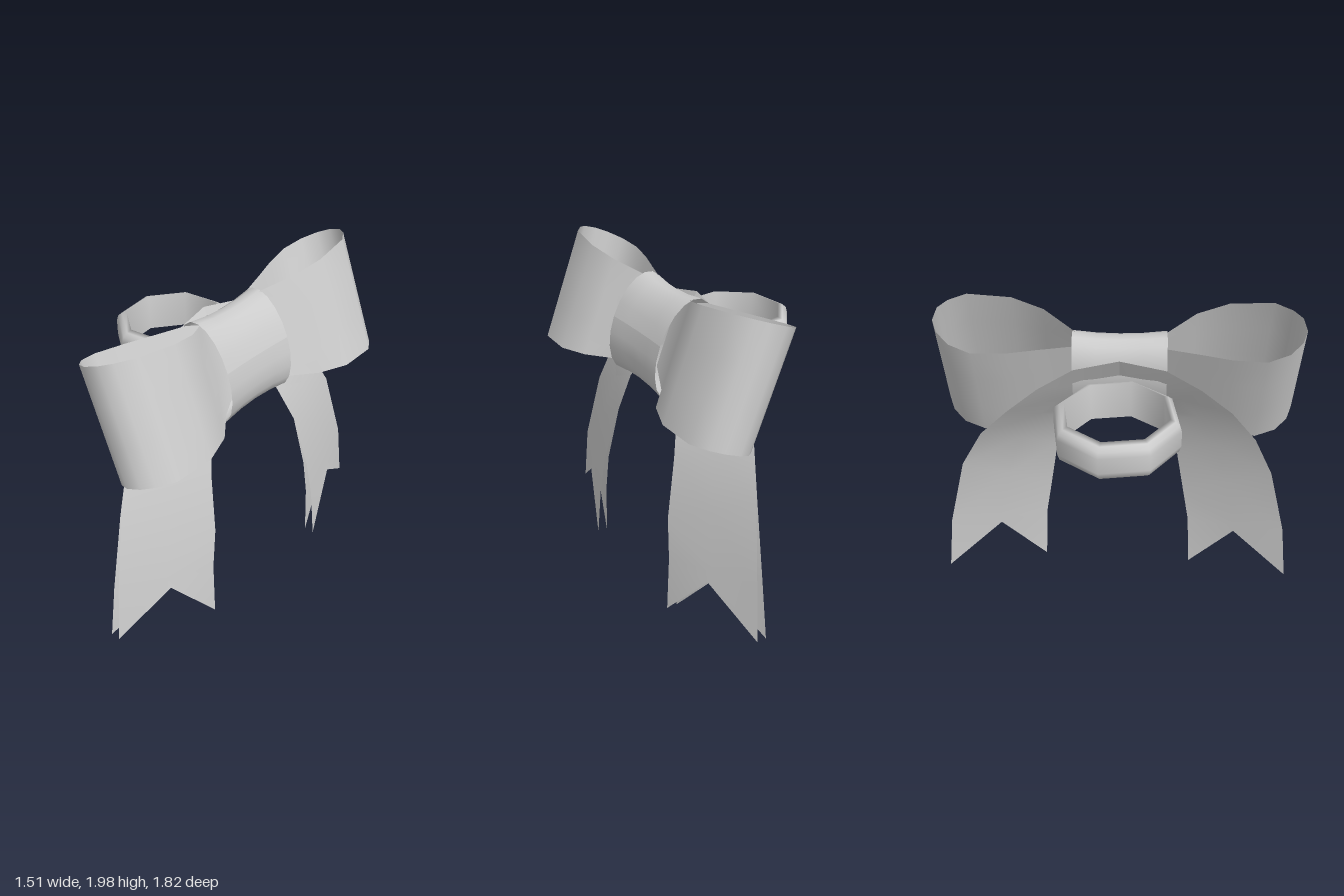
import * as THREE from 'three';

const material = new THREE.MeshStandardMaterial({ color: 0xcccccc, side: THREE.DoubleSide });

// Smooth surface through rows of [x, y, z] points
function sheet(name, rows) {
  const cols = rows[0].length, index = [];
  for (let i = 0; i < rows.length - 1; i++) {
    for (let j = 0; j < cols - 1; j++) {
      const a = i * cols + j, b = a + cols;
      index.push(a, b, a + 1, b, b + 1, a + 1);
    }
  }
  const geometry = new THREE.BufferGeometry();
  geometry.setAttribute('position', new THREE.Float32BufferAttribute(rows.flat(2), 3));
  geometry.setIndex(index);
  geometry.computeVertexNormals();
  const mesh = new THREE.Mesh(geometry, material);
  mesh.name = name;
  return mesh;
}

// Teardrop ribbon loop, widening toward its outer end
const loopProfile = [
  [0.1, -0.02], [0.25, -0.05], [0.44, -0.1], [0.6, -0.145], [0.78, -0.17], [0.9, -0.125], [0.97, -0.05],
  [1.0, 0.03], [0.985, 0.12], [0.935, 0.18], [0.84, 0.24], [0.6, 0.25], [0.42, 0.19], [0.25, 0.06], [0.1, 0.03],
];
function bowLoop(name, side) {
  const sweep = side < 0 ? -0.03 : 0; // the right loop swings slightly back
  return sheet(name, loopProfile.map(([x, z]) => {
    const t = (x - 0.25) / 0.75;
    const pinch = t < 0 ? 0.85 : 1;
    const top = pinch * (0.262 + 0.103 * t) + side * 0.015 * x;
    const bottom = -pinch * (0.265 + 0.27 * t - 0.21 * t * t) + side * 0.01 * x;
    return [0, 0.33, 0.67, 1].map((k) => [side * x, top + (bottom - top) * k, z + sweep * x]);
  }));
}

// Flattened band wrapped around the middle, slightly waisted
function knot() {
  const rows = [-0.258, -0.13, 0, 0.13, 0.258].map((x) => {
    const s = 0.93 + 0.07 * (x / 0.258) ** 2, row = [];
    for (let i = 0; i <= 20; i++) {
      const a = (i / 20) * Math.PI * 2;
      row.push([x, -0.018 + 0.303 * s * Math.sin(a), 0.167 * s * Math.cos(a)]);
    }
    return row;
  });
  return sheet('knot', rows);
}

// Hanging tail: outer and inner edges from the arch behind the knot to the notched end
const outerEdge = [
  [0, 1.77, -0.24], [0.25, 1.71, -0.235], [0.45, 1.57, -0.21], [0.63, 1.39, -0.16],
  [0.78, 1.18, -0.115], [0.9, 0.9, -0.07], [1.01, 0.45, -0.05], [1.05, 0.09, -0.065],
];
const innerEdge = [
  [0, 1.5, -0.09], [0.13, 1.42, -0.06], [0.21, 1.33, -0.01], [0.27, 1.2, 0.05],
  [0.34, 0.95, 0.1], [0.394, 0.6, 0.15], [0.435, 0.35, 0.15], [0.45, 0.01, 0.148],
];
function tail(name, side, gap) {
  const last = outerEdge.length - 1;
  return sheet(name, outerEdge.map((o, i) => {
    const n = innerEdge[i];
    const mid = i === last ? [0.72, 0.335, 0.07] : o.map((v, k) => (v + n[k]) / 2);
    return [o, mid, n].map(([x, y, z]) => {
      // the left tail swings slightly outward and forward
      const swing = side > 0 ? Math.min(1, Math.max(0, (1.4 - y) / 0.4)) : 0;
      return [side * x + 0.04 * swing, y + 0.02 * swing, z + 0.04 * swing + gap * Math.max(0, 1 - y)];
    });
  }));
}

// Eight-sided band with a bulging outside
function ring() {
  const profile = [
    [0.287, -0.11], [0.315, -0.1], [0.34, -0.078], [0.35, -0.045], [0.35, 0.045],
    [0.34, 0.078], [0.315, 0.1], [0.287, 0.11], [0.287, -0.11],
  ].map(([r, y]) => new THREE.Vector2(r, y));
  const mesh = new THREE.Mesh(new THREE.LatheGeometry(profile, 8, -0.09), material);
  mesh.name = 'ring';
  mesh.position.set(-0.412, 1.51, -0.29);
  return mesh;
}

export function createModel() {
  const model = new THREE.Group();
  model.name = 'ribbonBow';

  // The bow is turned sideways; its loops and knot also lean back at the top
  const bow = new THREE.Group();
  bow.name = 'bow';
  bow.position.x = -0.02;
  bow.rotation.y = 0.952;
  const upper = new THREE.Group();
  upper.name = 'loopsAndKnot';
  upper.position.y = 1.57;
  upper.rotation.x = -0.36;
  upper.add(knot());

  for (const [label, side] of [['left', 1], ['right', -1]]) {
    upper.add(bowLoop(label + 'Loop', side));
    bow.add(tail(label + 'TailBack', side, 0), tail(label + 'TailFront', side, 0.065));
  }

  bow.add(upper);
  model.add(bow, ring());
  return model;
}
